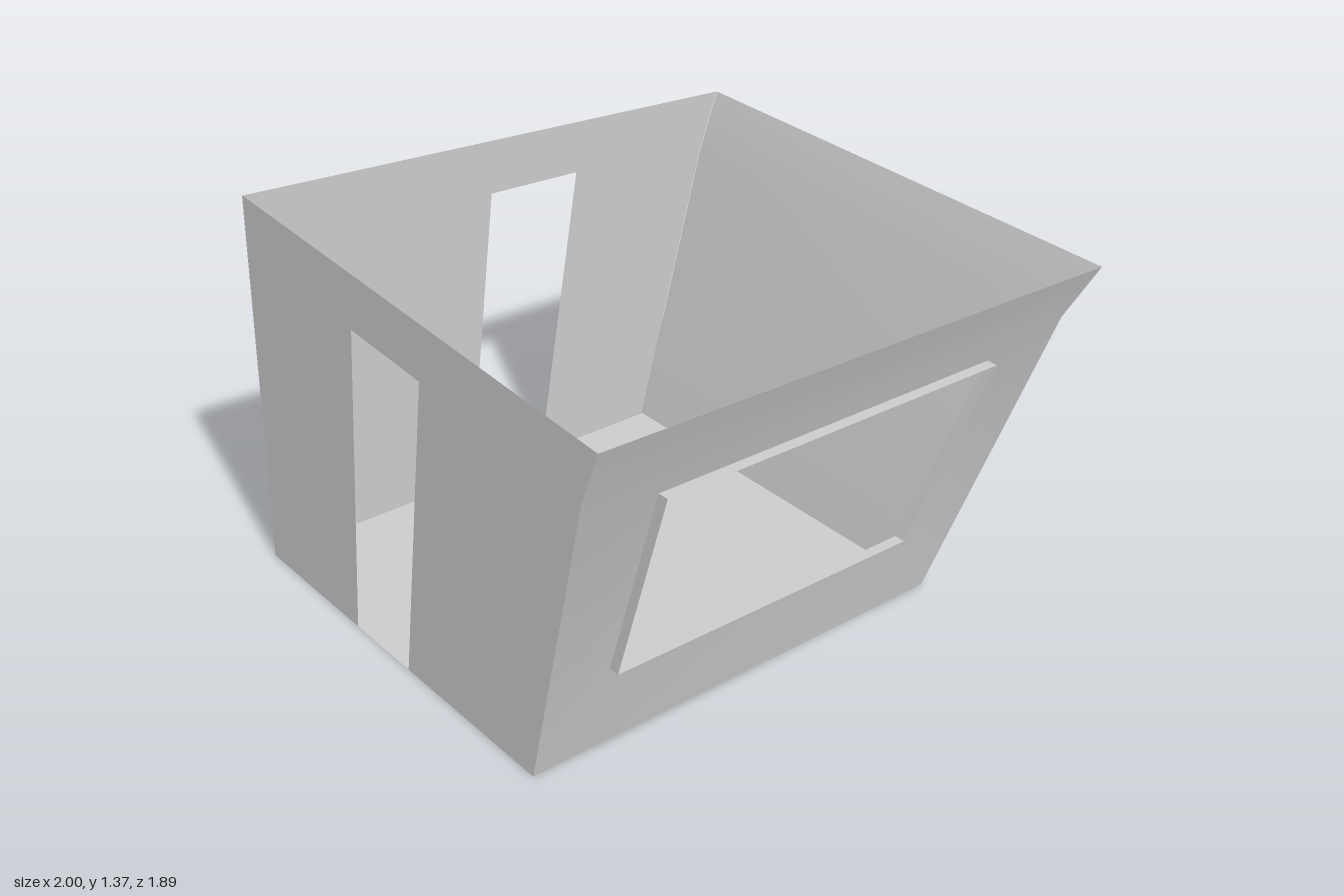
import * as THREE from 'three';
import { toCreasedNormals } from 'three/addons/utils/BufferGeometryUtils.js';

const material = new THREE.MeshStandardMaterial({ color: 0xcccccc, side: THREE.DoubleSide });

// Corner edges, listed from the floor up: bottom, bend, rim
const frontLeft = [[0.64, 0, 0.61], [0.92, 1.04, 0.87], [1, 1.22, 0.945]];
const frontRight = [[-1, 0, 0.61], [-0.988, 1.08, 0.87], [-0.985, 1.27, 0.945]];
const backLeft = [[0.64, 0, -0.94], [0.92, 1.04, -0.932], [1, 1.26, -0.93]];
const backRight = [[-1, 0, -0.945], [-0.988, 1.08, -0.937], [-0.985, 1.37, -0.935]];

// Sheet made of polygons with 3 or 4 corners
function sheet(name, faces) {
  const positions = [];
  for (const f of faces) {
    for (let i = 1; i < f.length - 1; i++) positions.push(...f[0], ...f[i], ...f[i + 1]);
  }
  const geometry = new THREE.BufferGeometry();
  geometry.setAttribute('position', new THREE.Float32BufferAttribute(positions, 3));
  geometry.computeVertexNormals();
  const mesh = new THREE.Mesh(toCreasedNormals(geometry, 0.3), material);
  mesh.name = name;
  return mesh;
}

// Flat outline (u, y) stood up in space by a rule
function outlineWall(name, outline, place) {
  const shape = new THREE.Shape(outline.map(([u, y]) => new THREE.Vector2(u, y)));
  const geometry = new THREE.ShapeGeometry(shape);
  const pos = geometry.attributes.position;
  for (let i = 0; i < pos.count; i++) pos.setXYZ(i, ...place(pos.getX(i), pos.getY(i)));
  geometry.computeVertexNormals();
  const mesh = new THREE.Mesh(geometry, material);
  mesh.name = name;
  return mesh;
}

export function createModel() {
  const group = new THREE.Group();
  group.name = 'openRoom';

  group.add(sheet('floor', [[frontLeft[0], frontRight[0], backRight[0], backLeft[0]]]));

  // Plain flared side wall with a bend below the rim
  group.add(sheet('leftWall', [0, 1].map((i) =>
    [frontLeft[i], backLeft[i], backLeft[i + 1], frontLeft[i + 1]])));

  // Back wall with a slanted doorway reaching the floor
  const backDoor = [[0.15, 0], [0.34, 1.105], [-0.03, 1.12], [-0.17, 0]];
  group.add(outlineWall('backWall',
    [...backRight.map(([x, y]) => [x, y]), ...[...backLeft].reverse().map(([x, y]) => [x, y]), ...backDoor],
    (u, y) => [u, y, -0.942 + 0.008 * y]));

  // Right wall with a second doorway
  const sideDoor = [[-0.08, 0], [0.08, 1.12], [-0.296, 1.14], [-0.39, 0]];
  group.add(outlineWall('rightWall',
    [...backRight.map(([, y, z]) => [z, y]), ...[...frontRight].reverse().map(([, y, z]) => [z, y]), ...sideDoor],
    (u, y) => [-1 + 0.0115 * y, y, u]));

  // Front wall folded in around the window
  const win = [[-0.74, 0.305, 0.655], [0.45, 0.295, 0.655], [0.62, 0.97, 0.84], [-0.7, 0.99, 0.84]];
  const [a0, a1, a2] = frontRight;
  const [b0, b1, b2] = frontLeft;
  group.add(sheet('frontWall', [
    [a0, b0, win[1]], [a0, win[1], win[0]],
    [a0, win[0], win[3]], [a0, win[3], a1],
    [b0, b1, win[1]], [win[1], b1, win[2]],
    [win[3], win[2], b1], [win[3], b1, a1],
    [a1, b1, b2, a2],
  ]));

  // Thin lip standing forward around the window
  const lip = win.map(([x, y, z]) => [x, y, z + 0.04]);
  group.add(sheet('windowFrame', win.map((p, i) => {
    const j = (i + 1) % 4;
    return [p, win[j], lip[j], lip[i]];
  })));

  return group;
}
